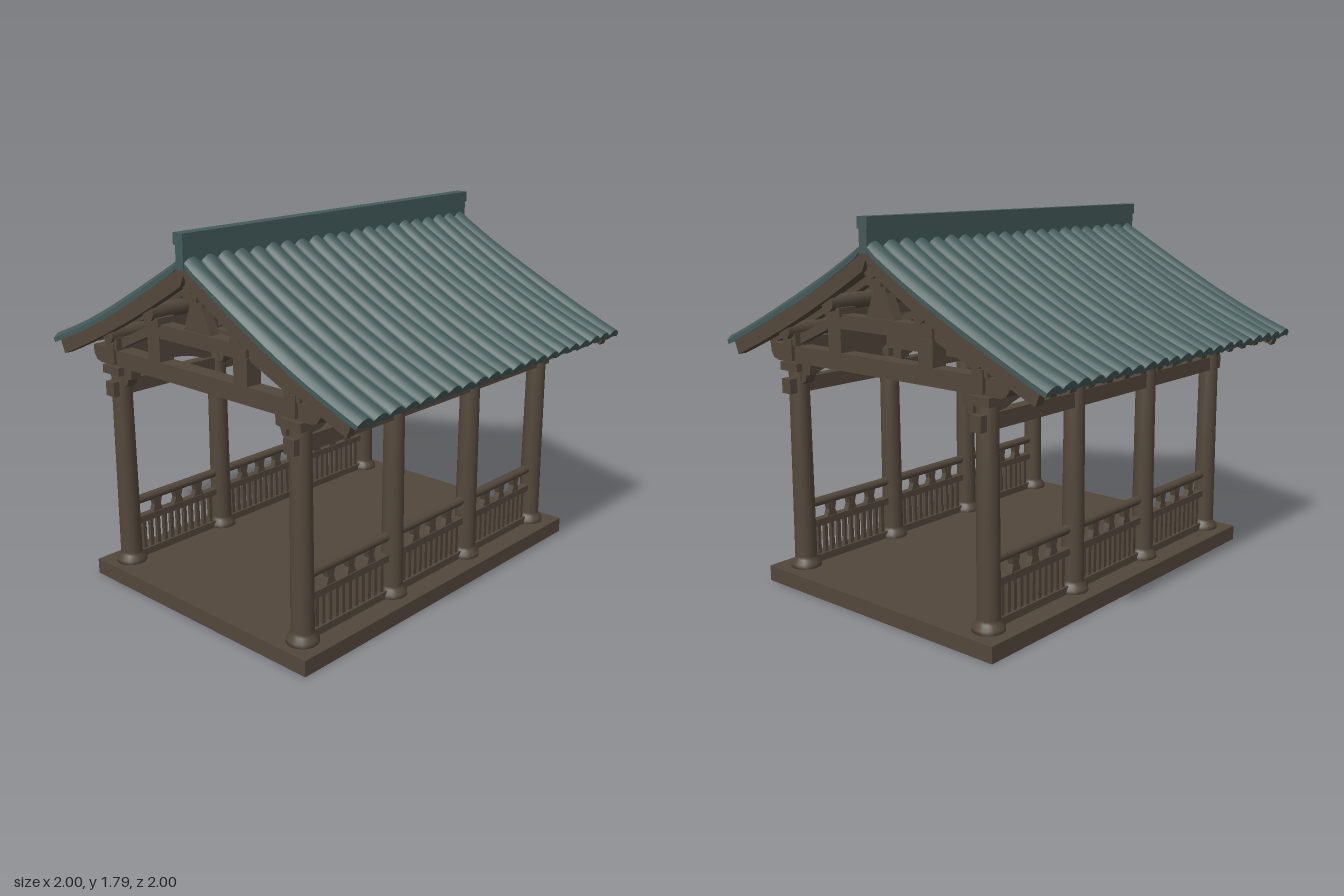
import * as THREE from 'three';

const wood = new THREE.MeshStandardMaterial({ color: 0x53473b });
wood.name = 'dark wood';
const tile = new THREE.MeshStandardMaterial({ color: 0x435a59 });
tile.name = 'teal roof tile';

const COLUMN_X = 0.595;
const COLUMN_Z = [0.885, 0.287, -0.287, -0.872];
const RIBS = 21;

// height and slope of the roof crest at distance x from the ridge
const roofY = (x) => 1.7 - 0.62 * x + 0.11 * x * x;
const roofSlope = (x) => -0.62 + 0.22 * x;

function add(parent, name, geometry, material = wood, x = 0, y = 0, z = 0) {
  const mesh = new THREE.Mesh(geometry, material);
  mesh.name = name;
  mesh.position.set(x, y, z);
  parent.add(mesh);
  return mesh;
}

// box given by its extents
function block(parent, name, x0, x1, y0, y1, z0, z1, material = wood) {
  return add(parent, name, new THREE.BoxGeometry(x1 - x0, y1 - y0, z1 - z0), material,
    (x0 + x1) / 2, (y0 + y1) / 2, (z0 + z1) / 2);
}

// outline in x-y, extruded along z and centred on z = 0
function board(points, depth) {
  const shape = new THREE.Shape(points.map(([x, y]) => new THREE.Vector2(x, y)));
  return new THREE.ExtrudeGeometry(shape, { depth, bevelEnabled: false }).translate(0, 0, -depth / 2);
}

// box bent along one side of the roof, between two depths under the crest line
function roofSlab(side, x0, x1, top, bottom, z0, z1, ribbed = false) {
  const g = new THREE.BoxGeometry(1, 1, 1, 12, 1, ribbed ? RIBS * 10 : 1);
  const p = g.attributes.position;
  for (let i = 0; i < p.count; i++) {
    const u = 0.5 + side * p.getX(i);
    const x = x0 + (x1 - x0) * u;
    const w = p.getZ(i) + 0.5;
    const isTop = p.getY(i) > 0;
    let d = isTop ? top : bottom;
    if (ribbed) {
      const rib = Math.abs(Math.sin(Math.PI * w * RIBS));
      d += (isTop ? 0.026 : 0.01) * (1 - rib) + 0.003 * Math.sin(w * 41 + u * 7);
    }
    const slope = roofSlope(x);
    const len = Math.hypot(slope, 1);
    p.setXYZ(i, side * Math.max(0, x + slope * d / len), roofY(x) - d / len, z0 + (z1 - z0) * w);
  }
  g.computeVertexNormals();
  return g;
}

function buildColumns(root) {
  const profile = [[0, 0.07], [0.075, 0.07], [0.073, 0.095], [0.056, 0.115], [0.053, 0.13],
    [0.05, 0.6], [0.047, 1.2], [0, 1.2]].map(([r, y]) => new THREE.Vector2(r, y));
  const geometry = new THREE.LatheGeometry(profile, 18);
  for (const side of [-1, 1]) for (const z of COLUMN_Z) add(root, 'column', geometry, wood, side * COLUMN_X, 0, z);
}

function buildRailing(side) {
  const g = new THREE.Group();
  g.name = 'railing';
  const x = side * COLUMN_X;
  block(g, 'bottomRail', x - 0.02, x + 0.02, 0.075, 0.112, -0.86, 0.86);
  block(g, 'middleRail', x - 0.02, x + 0.02, 0.258, 0.292, -0.86, 0.86);
  const top = add(g, 'topRail', new THREE.CylinderGeometry(0.022, 0.022, 1.72, 10), wood, x, 0.378, 0);
  top.rotation.x = Math.PI / 2;
  const spindle = new THREE.BoxGeometry(0.018, 0.16, 0.02);
  const support = board([[-0.032, 0.285], [0.032, 0.285], [0.018, 0.325], [0.028, 0.365], [-0.028, 0.365], [-0.018, 0.325]], 0.03);
  support.rotateY(Math.PI / 2);
  for (let bay = 0; bay < 3; bay++) {
    const z0 = COLUMN_Z[bay] - 0.06, z1 = COLUMN_Z[bay + 1] + 0.06;
    for (let i = 0; i < 11; i++) add(g, 'spindle', spindle, wood, x, 0.185, z0 + (z1 - z0) * (i + 0.5) / 11);
    for (let i = 0; i < 3; i++) add(g, 'railSupport', support, wood, x, 0, z0 + (z1 - z0) * (0.22 + 0.28 * i));
  }
  return g;
}

function buildSideBeams(side) {
  const g = new THREE.Group();
  g.name = 'sideBeams';
  const x = side * COLUMN_X;
  block(g, 'tieBeam', x - 0.03, x + 0.03, 0.945, 1.015, -0.95, 0.955);
  block(g, 'plateBeam', x - 0.025, x + 0.025, 1.1, 1.2, -0.93, 0.94);
  // arched boards between the columns
  for (let bay = 0; bay < 3; bay++) {
    const mid = (COLUMN_Z[bay] + COLUMN_Z[bay + 1]) / 2;
    const half = (COLUMN_Z[bay] - COLUMN_Z[bay + 1]) / 2;
    const s = new THREE.Shape();
    s.moveTo(-half, 1.01);
    s.lineTo(-half + 0.1, 1.02);
    s.quadraticCurveTo(0, 1.105, half - 0.1, 1.02);
    s.lineTo(half, 1.01);
    s.lineTo(half, 1.12);
    s.lineTo(-half, 1.12);
    const arch = new THREE.ExtrudeGeometry(s, { depth: 0.03, bevelEnabled: false, curveSegments: 10 });
    arch.translate(0, 0, -0.015).rotateY(Math.PI / 2);
    add(g, 'archBoard', arch, wood, x, 0, mid);
  }
  return g;
}

// one cross frame: main beam, brackets, posts, upper beam and king post
function buildTruss() {
  const g = new THREE.Group();
  g.name = 'truss';
  block(g, 'mainBeam', -0.7, 0.7, 1.09, 1.17, -0.04, 0.04);
  block(g, 'upperBeam', -0.32, 0.32, 1.28, 1.345, -0.035, 0.035);
  add(g, 'kingPost', board([[-0.09, 1.34], [0.09, 1.34], [0.04, 1.46], [0.035, 1.56], [-0.035, 1.56], [-0.04, 1.46]], 0.05));
  block(g, 'kingPostCap', -0.045, 0.045, 1.49, 1.53, -0.06, 0.06);
  const bracket = [[0.54, 0.99], [0.515, 1.005], [0.505, 1.035], [0.48, 1.04], [0.475, 1.1], [0.54, 1.1]];
  for (const s of [-1, 1]) {
    const flip = (pts) => pts.map(([x, y]) => [s * x, y]);
    add(g, 'innerBracket', board(flip(bracket), 0.055));
    add(g, 'beamEnd', board(flip([[0.69, 1.09], [0.725, 1.1], [0.745, 1.13], [0.745, 1.17], [0.69, 1.17]]), 0.08));
    block(g, 'columnCap', s * COLUMN_X - 0.06, s * COLUMN_X + 0.06, 1.05, 1.09, -0.06, 0.06);
    block(g, 'purlinBlock', s * COLUMN_X - 0.045, s * COLUMN_X + 0.045, 1.17, 1.23, -0.05, 0.05);
    block(g, 'shortPost', s * 0.285 - 0.042, s * 0.285 + 0.042, 1.16, 1.29, -0.04, 0.04);
    block(g, 'postCap', s * 0.285 - 0.05, s * 0.285 + 0.05, 1.335, 1.375, -0.05, 0.05);
    add(g, 'slopingStrut', board(flip([[0.57, 1.17], [0.57, 1.215], [0.3, 1.34], [0.3, 1.29]]), 0.04));
  }
  return g;
}

function buildPurlins(root) {
  const geometry = new THREE.CylinderGeometry(0.038, 0.038, 1.9, 12).rotateX(Math.PI / 2);
  const spots = [[0, 1.56], [0.285, 1.395], [-0.285, 1.395], [COLUMN_X, 1.24], [-COLUMN_X, 1.24]];
  for (const [x, y] of spots) {
    add(root, 'purlin', geometry, wood, x, y, 0);
    if (Math.abs(x) < 0.5) block(root, 'purlinBoard', x - 0.014, x + 0.014, y - 0.085, y - 0.02, -0.88, 0.89);
  }
}

function buildRoof() {
  const g = new THREE.Group();
  g.name = 'roof';
  for (const side of [-1, 1]) {
    add(g, 'tileSlope', roofSlab(side, 0, 1, 0, 0.038, -0.985, 0.985, true), tile);
    add(g, 'roofBoarding', roofSlab(side, 0, 0.975, 0.036, 0.054, -0.965, 0.965));
    for (let i = 0; i < 15; i++) {
      const z = -0.875 + i * 0.125;
      add(g, 'rafter', roofSlab(side, 0, 0.965, 0.05, 0.088, z - 0.02, z + 0.02));
    }
    for (const end of [-1, 1]) {
      const z = end * 0.95;
      add(g, 'gableBoard', roofSlab(side, 0, 0.965, 0.034, 0.112, z - 0.022, z + 0.022));
    }
  }
  // ridge wall with a slightly wider cap
  block(g, 'ridge', -0.024, 0.024, 1.63, 1.75, -0.985, 0.99, tile);
  block(g, 'ridgeCap', -0.031, 0.031, 1.735, 1.787, -0.988, 0.995, tile);
  return g;
}

export function createModel() {
  const root = new THREE.Group();
  root.name = 'openPavilion';

  block(root, 'floor', -0.72, 0.72, 0, 0.076, -0.995, 1);
  buildColumns(root);
  for (const side of [-1, 1]) root.add(buildRailing(side), buildSideBeams(side));
  for (const z of COLUMN_Z) {
    const truss = buildTruss();
    truss.position.z = z;
    root.add(truss);
  }
  buildPurlins(root);
  root.add(buildRoof());
  return root;
}
